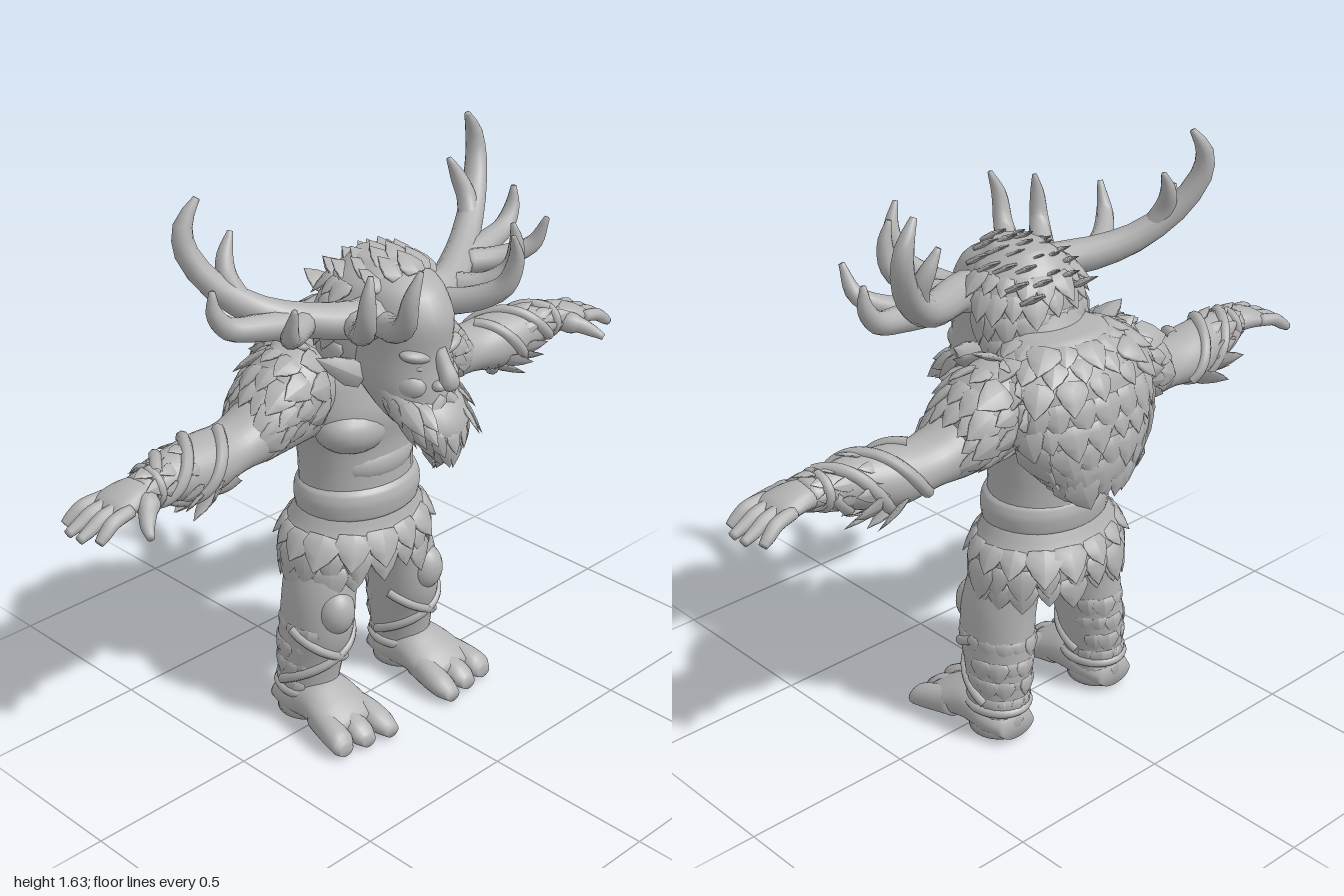
import * as THREE from 'three';
import { mergeGeometries, mergeVertices } from 'three/addons/utils/BufferGeometryUtils.js';

const V = (x, y, z) => new THREE.Vector3(x, y, z);
const AXES = { x: [V(1, 0, 0), V(0, 1, 0)], y: [V(0, 1, 0), V(0, 0, 1)], z: [V(0, 0, 1), V(1, 0, 0)] };

let seed = 7;
const rand = () => ((seed = (seed * 16807) % 2147483647) / 2147483647);

// Surface through elliptical stations [x, y, z, ra, rb]; returns point(u around, v along).
function loft(stations, axis) {
  const path = new THREE.CatmullRomCurve3(stations.map(s => V(s[0], s[1], s[2])));
  const size = new THREE.CatmullRomCurve3(stations.map(s => V(s[3], s[4] ?? s[3], 0)));
  return (u, v) => {
    const c = path.getPoint(v);
    if (v <= 0 || v >= 1) return c;
    const [t, ref] = axis ? AXES[axis] : [path.getTangent(v), AXES.y[1]];
    const e1 = t.clone().cross(ref).normalize();
    const e2 = e1.clone().cross(t);
    const r = size.getPoint(v);
    const a = u * Math.PI * 2;
    return c.addScaledVector(e1, Math.max(r.x, 0.002) * Math.sin(a))
      .addScaledVector(e2, Math.max(r.y, 0.002) * Math.cos(a));
  };
}

// Closed smooth skin over a lofted surface.
function skin(P, nu = 32, nv = 24) {
  const g = new THREE.PlaneGeometry(1, 1, nu, nv);
  const pos = g.attributes.position;
  for (let j = 0; j <= nv; j++) for (let i = 0; i <= nu; i++) {
    const v = THREE.MathUtils.clamp((j - 1) / (nv - 2), 1e-4, 1 - 1e-4);
    const p = P((i % nu) / nu, j === 0 ? 0 : j === nv ? 1 : v);
    const k = (nv - j) * (nu + 1) + i;
    pos.setXYZ(k, p.x, p.y, p.z);
  }
  g.deleteAttribute('uv');
  g.deleteAttribute('normal');
  const m = mergeVertices(g, 1e-5);
  m.computeVertexNormals();
  return m;
}

// One pointed, flattened lock of fur.
function leaf(base, dir, normal, w, l, thick = 0.24) {
  const g = new THREE.LatheGeometry([[0, 0], [0.4, 0.02], [0.5, 0.3], [0.32, 0.65], [0, 1]]
    .map(p => new THREE.Vector2(p[0], p[1])), 6);
  const pos = g.attributes.position;
  for (let i = 0; i < pos.count; i++) pos.setZ(i, pos.getZ(i) * thick - 0.1 * pos.getY(i) ** 2);
  g.scale(w, l, w);
  const y = dir.clone().normalize();
  const x = y.clone().cross(normal).normalize();
  g.applyMatrix4(new THREE.Matrix4().makeBasis(x, y, x.clone().cross(y)).setPosition(base));
  g.deleteAttribute('uv');
  g.computeVertexNormals();
  return g;
}

// Staggered rows of locks over a surface; way -1 lies towards v = 0, +1 towards v = 1.
function fur(P, u0, u1, rows, n, w, l, lift = 0.3, way = -1) {
  const out = [];
  rows.forEach((v, r) => {
    for (let i = 0; i < n; i++) {
      const u = u0 + (u1 - u0) * (i + 0.25 + 0.5 * (r % 2)) / n + (rand() - 0.5) * 0.01;
      const p = P(u, v);
      const du = P(u + 0.01, v).sub(P(u - 0.01, v));
      const dv = P(u, v + 0.01).sub(P(u, v - 0.01)).normalize();
      const nrm = du.cross(dv).normalize();
      const dir = dv.multiplyScalar(way).addScaledVector(nrm, lift);
      const k = 0.75 + rand() * 0.5;
      out.push(leaf(p.addScaledVector(nrm, -0.006), dir, nrm, w * k, l * k));
    }
  });
  return mergeGeometries(out);
}

// Strap winding over a surface.
function band(P, u0, v0, u1, v1, r) {
  const pts = Array.from({ length: 15 }, (_, i) => P(u0 + (u1 - u0) * i / 14, v0 + (v1 - v0) * i / 14));
  const g = new THREE.TubeGeometry(new THREE.CatmullRomCurve3(pts), 36, r, 8);
  g.deleteAttribute('uv');
  return g;
}

function blob(x, y, z, sx, sy, sz, rz = 0) {
  const g = new THREE.SphereGeometry(1, 20, 14).scale(sx, sy, sz).rotateZ(rz).translate(x, y, z);
  g.deleteAttribute('uv');
  return g;
}

const horn = (...s) => skin(loft(s), 12, 16);

export function createModel() {
  const model = new THREE.Group();
  const grey = new THREE.MeshStandardMaterial({ color: 0xb2b2b2 });
  grey.name = 'stoneGrey';

  const add = (name, ...geos) => {
    const mesh = new THREE.Mesh(geos.length > 1 ? mergeGeometries(geos) : geos[0], grey);
    mesh.name = name;
    model.add(mesh);
  };
  const pair = (name, ...geos) => {
    const g = geos.length > 1 ? mergeGeometries(geos) : geos[0];
    const m = g.clone().scale(-1, 1, 1);
    const ix = m.index.array;
    for (let i = 0; i < ix.length; i += 3) [ix[i], ix[i + 1]] = [ix[i + 1], ix[i]];
    add('left' + name, g);
    add('right' + name, m);
  };

  // Torso, chest and belt
  const torso = loft([[0, 0.6, -0.06, 0.18, 0.15], [0, 0.75, -0.06, 0.175, 0.145], [0, 0.85, -0.06, 0.185, 0.145],
    [0, 0.95, -0.05, 0.21, 0.15], [0, 1.05, -0.06, 0.21, 0.14], [0, 1.14, -0.05, 0.12, 0.1]], 'y');
  add('torso', skin(torso), blob(0, 0.79, 0.0, 0.14, 0.075, 0.092));
  pair('Chest', blob(0.085, 0.905, 0.01, 0.115, 0.075, 0.092, 0.12));
  const belt = loft([[0, 0.63, -0.055, 0.17, 0.14], [0, 0.645, -0.055, 0.19, 0.156], [0, 0.685, -0.055, 0.194, 0.16],
    [0, 0.715, -0.055, 0.186, 0.153], [0, 0.73, -0.055, 0.17, 0.14]], 'y');
  add('belt', skin(belt));

  // Layered fur skirt
  const skirt = loft([[0, 0.5, -0.065, 0.235, 0.175], [0, 0.56, -0.065, 0.235, 0.177], [0, 0.62, -0.06, 0.205, 0.158],
    [0, 0.67, -0.055, 0.18, 0.14]], 'y');
  add('skirt', skin(skirt), fur(skirt, 0.06, 0.94, [0.06], 16, 0.095, 0.085, 0.28),
    fur(skirt, 0, 1, [0.3], 18, 0.1, 0.1, 0.28), fur(skirt, 0, 1, [0.58], 16, 0.1, 0.09, 0.25));
  add('loin', blob(0, 0.52, -0.06, 0.13, 0.06, 0.12));

  // Legs with fur, knee pads and crossed straps
  const leg = loft([[0.195, 0.015, -0.07, 0.08, 0.085], [0.19, 0.1, -0.065, 0.08, 0.09], [0.182, 0.2, -0.06, 0.088, 0.103],
    [0.173, 0.3, -0.045, 0.095, 0.117], [0.158, 0.42, -0.045, 0.098, 0.113], [0.11, 0.56, -0.06, 0.105, 0.11]], 'y');
  pair('Leg', skin(leg));
  pair('LegFur', fur(leg, 0.15, 0.68, [0.16, 0.28, 0.4, 0.52, 0.64], 7, 0.065, 0.055, 0.16));
  pair('KneePad', blob(0.178, 0.37, 0.04, 0.055, 0.07, 0.055));
  pair('ShinStraps', band(leg, -0.2, 0.6, 0.3, 0.25, 0.014), band(leg, 0.25, 0.62, -0.28, 0.27, 0.014),
    band(leg, 0, 0.2, 1, 0.2, 0.014));

  // Broad toed feet
  const foot = loft([[0.195, 0.045, -0.155, 0.035, 0.06], [0.195, 0.06, -0.08, 0.058, 0.085], [0.195, 0.075, 0, 0.07, 0.09],
    [0.2, 0.06, 0.08, 0.055, 0.1], [0.202, 0.038, 0.15, 0.034, 0.098]], 'z');
  const toes = [-0.07, 0.002, 0.072].map((d, i) => skin(loft([[0.2 + d * 0.8, 0.06, 0.04, 0.046, 0.036],
    [0.202 + d, 0.048, 0.12, 0.04, 0.04], [0.204 + d * 1.08, 0.037, 0.17, 0.033, 0.039],
    [0.204 + d * 1.1, 0.025, 0.215 - i * 0.012, 0.018, 0.024]], 'z'), 16, 14));
  pair('Foot', skin(foot), ...toes);

  // Hunched fur cape over the back
  const cape = loft([[0, 0.83, -0.24, 0.15, 0.07], [0, 0.91, -0.21, 0.205, 0.11], [0, 1.0, -0.17, 0.24, 0.147],
    [0, 1.09, -0.14, 0.245, 0.158], [0, 1.16, -0.125, 0.2, 0.135], [0, 1.205, -0.1, 0.11, 0.1]], 'y');
  add('furCape', skin(cape), fur(cape, 0.22, 0.78, [0.05, 0.17, 0.3, 0.43, 0.56], 11, 0.095, 0.095, 0.16),
    fur(cape, 0.2, 0.8, [0.7, 0.83, 0.94], 9, 0.09, 0.085, 0.15));

  // Arms, shoulder fur and forearm wraps
  const arm = loft([[0.18, 0.98, -0.08, 0.1, 0.1], [0.34, 0.96, -0.075, 0.095, 0.09], [0.45, 0.94, -0.07, 0.085, 0.068],
    [0.55, 0.935, -0.06, 0.088, 0.08], [0.65, 0.945, -0.045, 0.075, 0.072], [0.74, 0.955, -0.03, 0.054, 0.048],
    [0.8, 0.957, -0.025, 0.05, 0.034]], 'x');
  pair('Arm', skin(arm));
  const shoulder = loft([[0.13, 1.03, -0.08, 0.1, 0.1], [0.2, 1.035, -0.085, 0.125, 0.125], [0.27, 1.02, -0.085, 0.122, 0.12],
    [0.33, 0.99, -0.08, 0.11, 0.1], [0.37, 0.97, -0.08, 0.09, 0.08]], 'x');
  pair('ShoulderFur', skin(shoulder), fur(shoulder, 0, 1, [0.2, 0.42, 0.62, 0.8], 11, 0.085, 0.085, 0.24, 1));
  pair('ArmWraps', ...[0, 0.33, 0.66].map(u => band(arm, u, 0.4, u + 0.75, 0.85, 0.017)), band(arm, 0, 0.87, 1, 0.87, 0.014));
  pair('ForearmFur', fur(arm, 0, 1, [0.62, 0.74, 0.82], 7, 0.05, 0.07, 0.35, 1),
    fur(arm, 0.3, 0.7, [0.5, 0.6], 4, 0.065, 0.1, 0.6, 1));

  // Hands
  const palm = skin(loft([[0.76, 0.955, -0.025, 0.045, 0.034], [0.82, 0.957, -0.022, 0.06, 0.034],
    [0.88, 0.945, -0.02, 0.068, 0.028], [0.905, 0.935, -0.02, 0.058, 0.018]], 'x'), 20, 14);
  const fingers = [-0.07, -0.035, 0, 0.035].map((z, i) => horn([0.86, 0.95, z, 0.018],
    [0.92, 0.94, z * 1.15, 0.019], [0.96 - (i % 3 ? 0 : 0.01), 0.92, z * 1.25, 0.017],
    [0.995 - (i % 3 ? 0 : 0.025), 0.905, z * 1.3, 0.012]));
  pair('Hand', palm, ...fingers, horn([0.78, 0.95, 0, 0.024], [0.82, 0.94, 0.05, 0.024],
    [0.85, 0.92, 0.085, 0.018], [0.865, 0.905, 0.115, 0.01]));

  // Neck, head and face
  add('neck', skin(loft([[0, 0.98, -0.07, 0.15, 0.12], [0, 1.1, -0.05, 0.15, 0.13], [0, 1.24, 0.0, 0.13, 0.12]], 'y')));
  add('head', skin(loft([[0, 0.93, 0.21, 0.05, 0.06], [0, 1.0, 0.17, 0.1, 0.115], [0, 1.08, 0.125, 0.122, 0.15],
    [0, 1.16, 0.1, 0.125, 0.163], [0, 1.25, 0.09, 0.128, 0.18], [0, 1.33, 0.075, 0.115, 0.155],
    [0, 1.385, 0.05, 0.06, 0.08]], 'y')));
  add('nose', horn([0, 1.18, 0.25, 0.02], [0, 1.14, 0.272, 0.022], [0, 1.1, 0.292, 0.027], [0, 1.08, 0.285, 0.016]),
    blob(0.022, 1.088, 0.273, 0.018, 0.015, 0.02), blob(-0.022, 1.088, 0.273, 0.018, 0.015, 0.02));
  add('mouth', blob(0, 1.025, 0.268, 0.038, 0.012, 0.02));
  pair('Brow', blob(0.052, 1.168, 0.222, 0.056, 0.02, 0.036, 0.25));
  pair('Eye', blob(0.05, 1.136, 0.236, 0.02, 0.009, 0.012, 0.15));
  pair('Cheek', blob(0.058, 1.085, 0.193, 0.045, 0.045, 0.066, 0.4));
  pair('Ear', leaf(V(0.11, 1.08, 0.08), V(0.13, 0.08, -0.03), V(0.25, 0, 1), 0.085, 0.16, 0.4));

  // Beard and moustache
  const beard = loft([[0, 0.875, 0.25, 0.025, 0.028], [0, 0.92, 0.26, 0.06, 0.056], [0, 0.97, 0.245, 0.095, 0.078],
    [0, 1.03, 0.19, 0.115, 0.1], [0, 1.09, 0.12, 0.122, 0.1]], 'y');
  add('beard', skin(beard, 24, 16), fur(beard, -0.34, 0.34, [0.15, 0.32, 0.48], 7, 0.058, 0.08, 0.22),
    fur(beard, 0.1, 0.34, [0.65, 0.8], 4, 0.055, 0.09, 0.3), fur(beard, -0.34, -0.1, [0.65, 0.8], 4, 0.055, 0.09, 0.3));
  pair('Moustache', leaf(V(0.005, 1.055, 0.275), V(0.07, -0.08, 0.01), V(0.2, 0, 1), 0.045, 0.11, 0.4),
    leaf(V(0.02, 1.05, 0.265), V(0.09, -0.04, -0.02), V(0.3, 0, 1), 0.04, 0.09, 0.4));

  // Shaggy mane over the crown and nape
  const mane = loft([[0, 1.05, -0.04, 0.145, 0.11], [0, 1.16, -0.005, 0.165, 0.115], [0, 1.26, 0.015, 0.165, 0.13],
    [0, 1.34, 0.035, 0.13, 0.125], [0, 1.395, 0.045, 0.06, 0.08]], 'y');
  add('mane', skin(mane), fur(mane, 0.2, 0.8, [0.14, 0.3, 0.46, 0.62, 0.76], 10, 0.075, 0.08, 0.2));
  const crest = [];
  for (let r = 0; r < 5; r++) for (let i = -2; i <= 2; i++) {
    const x = i * 0.04 + (r % 2) * 0.012;
    const y = 1.375 - 5 * x * x - 0.007 * (r - 1) ** 2;
    crest.push(leaf(V(x, y, 0.17 - r * 0.052 - Math.abs(x) * 0.5), V(x * 3, 0.5, -0.65), V(x, 1, 0.3), 0.085, 0.085));
  }
  add('crest', ...crest);

  // Branching antlers
  pair('Antler',
    horn([0.08, 1.26, 0.12, 0.052], [0.17, 1.27, 0.11, 0.052], [0.28, 1.285, 0.05, 0.047], [0.38, 1.32, -0.01, 0.041],
      [0.475, 1.395, -0.07, 0.036], [0.53, 1.49, -0.112, 0.031], [0.53, 1.56, -0.122, 0.025], [0.49, 1.625, -0.112, 0.009]),
    horn([0.42, 1.35, -0.035, 0.03], [0.44, 1.41, -0.065, 0.028], [0.43, 1.46, -0.085, 0.023], [0.4, 1.52, -0.095, 0.008]),
    horn([0.28, 1.28, 0.05, 0.04], [0.42, 1.3, 0.03, 0.036], [0.51, 1.32, 0.015, 0.03], [0.55, 1.37, 0.01, 0.022],
      [0.555, 1.43, 0.01, 0.008]),
    horn([0.3, 1.285, 0.06, 0.036], [0.39, 1.295, 0.12, 0.031], [0.45, 1.33, 0.175, 0.024], [0.465, 1.41, 0.21, 0.008]),
    horn([0.17, 1.27, 0.11, 0.038], [0.23, 1.28, 0.2, 0.035], [0.27, 1.33, 0.255, 0.028], [0.275, 1.4, 0.268, 0.021],
      [0.262, 1.46, 0.265, 0.007]),
    horn([0.1, 1.25, 0.14, 0.038], [0.15, 1.275, 0.24, 0.035], [0.185, 1.32, 0.31, 0.029], [0.195, 1.4, 0.338, 0.022],
      [0.17, 1.47, 0.348, 0.007]));

  return model;
}
